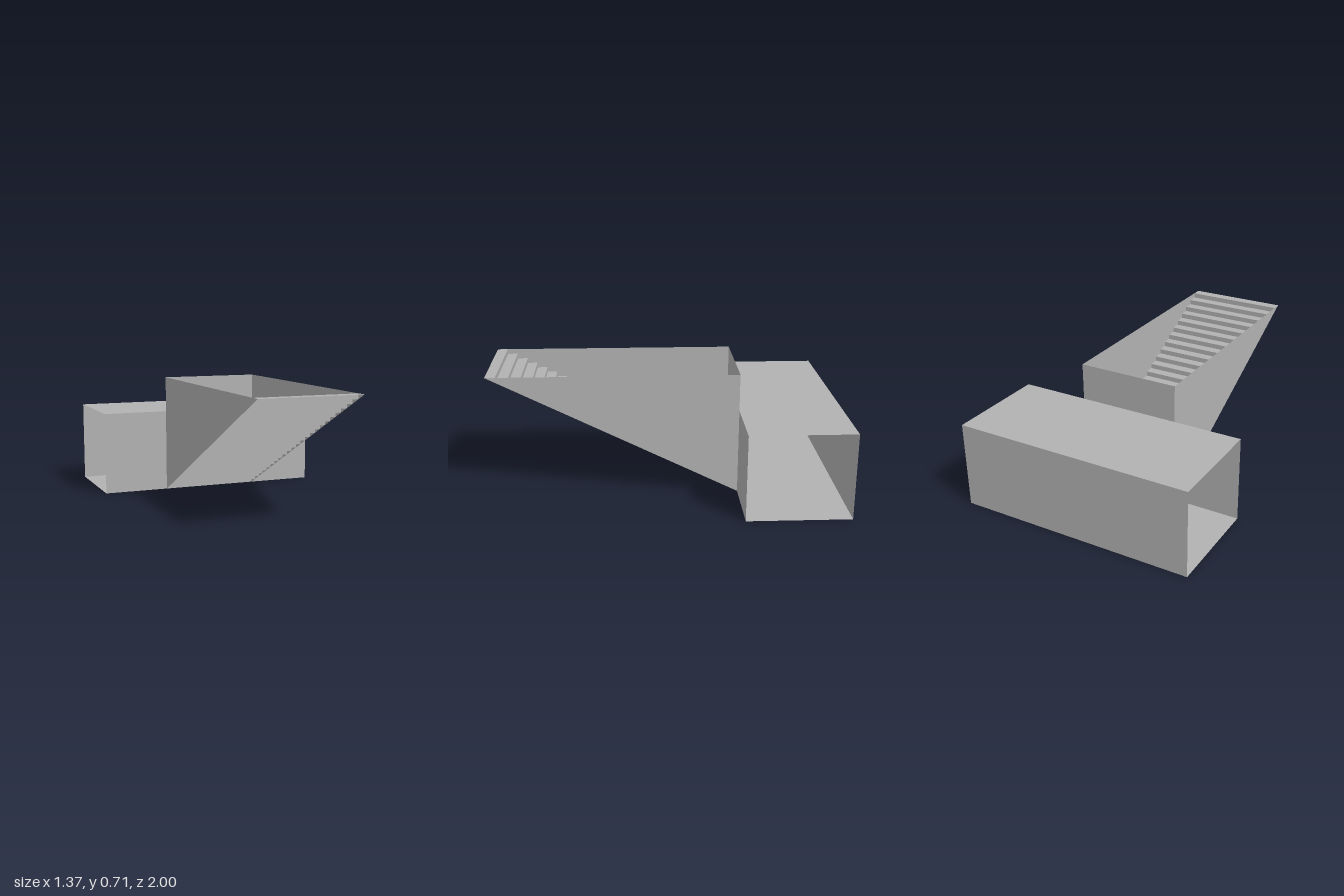
import * as THREE from 'three';

// Main dimensions
const STEPS = 24;
const TOP = 0.707;            // height of the stair head
const FRONT = 1, JOIN = -0.414, BACK = -1;
const HALF_STAIR = 0.293, HALF_TUNNEL = 0.685, CEILING = 0.494;
const RISE = TOP / STEPS;
const RUN = (FRONT - JOIN) / STEPS;

export function createModel() {
  const group = new THREE.Group();
  const concrete = new THREE.MeshStandardMaterial({ color: 0xb2b2b2, side: THREE.DoubleSide });
  concrete.name = 'concrete';

  const add = (parent, name, geometry) => {
    const mesh = new THREE.Mesh(geometry, concrete);
    mesh.name = name;
    parent.add(mesh);
    return mesh;
  };

  // Upright sheet facing +z
  const upright = (parent, name, x0, x1, y0, y1, z) => {
    const mesh = add(parent, name, new THREE.PlaneGeometry(x1 - x0, y1 - y0));
    mesh.position.set((x0 + x1) / 2, (y0 + y1) / 2, z);
  };

  // Level sheet facing +y
  const level = (parent, name, halfWidth, z0, z1, y) => {
    const geometry = new THREE.PlaneGeometry(halfWidth * 2, z1 - z0).rotateX(-Math.PI / 2);
    add(parent, name, geometry).position.set(0, y, (z0 + z1) / 2);
  };

  // Cross passage, open at both ends
  const tunnel = new THREE.Group();
  tunnel.name = 'tunnel';
  group.add(tunnel);
  level(tunnel, 'tunnelFloor', HALF_TUNNEL, BACK, JOIN, 0);
  level(tunnel, 'tunnelCeiling', HALF_TUNNEL, BACK, JOIN, CEILING);
  upright(tunnel, 'tunnelBackWall', -HALF_TUNNEL, HALF_TUNNEL, 0, CEILING, BACK);

  // Front wall around the doorway
  upright(tunnel, 'rightFrontWall', -HALF_TUNNEL, -HALF_STAIR, 0, CEILING, JOIN);
  upright(tunnel, 'leftFrontWall', HALF_STAIR, HALF_TUNNEL, 0, CEILING, JOIN);
  upright(tunnel, 'doorSill', -HALF_STAIR, HALF_STAIR, 0, RISE, JOIN);
  upright(tunnel, 'doorHeader', -HALF_STAIR, HALF_STAIR, CEILING, TOP, JOIN);

  // Steps going down from the front to the doorway
  const stairs = new THREE.Group();
  stairs.name = 'stairs';
  group.add(stairs);
  for (let i = 0; i < STEPS; i++) {
    const y = TOP - i * RISE;
    const z = FRONT - i * RUN;
    level(stairs, 'tread', HALF_STAIR, z - RUN, z, y);
    if (i < STEPS - 1) upright(stairs, 'riser', -HALF_STAIR, HALF_STAIR, y - RISE, y, z - RUN);
  }

  // Triangular walls on both sides of the steps
  const outline = new THREE.Shape([
    new THREE.Vector2(-FRONT, TOP),
    new THREE.Vector2(-JOIN, 0),
    new THREE.Vector2(-JOIN, TOP),
  ]);
  for (const side of [-1, 1]) {
    const wall = new THREE.ShapeGeometry(outline).rotateY(Math.PI / 2);
    add(stairs, side > 0 ? 'leftStairWall' : 'rightStairWall', wall).position.x = side * HALF_STAIR;
  }

  return group;
}
